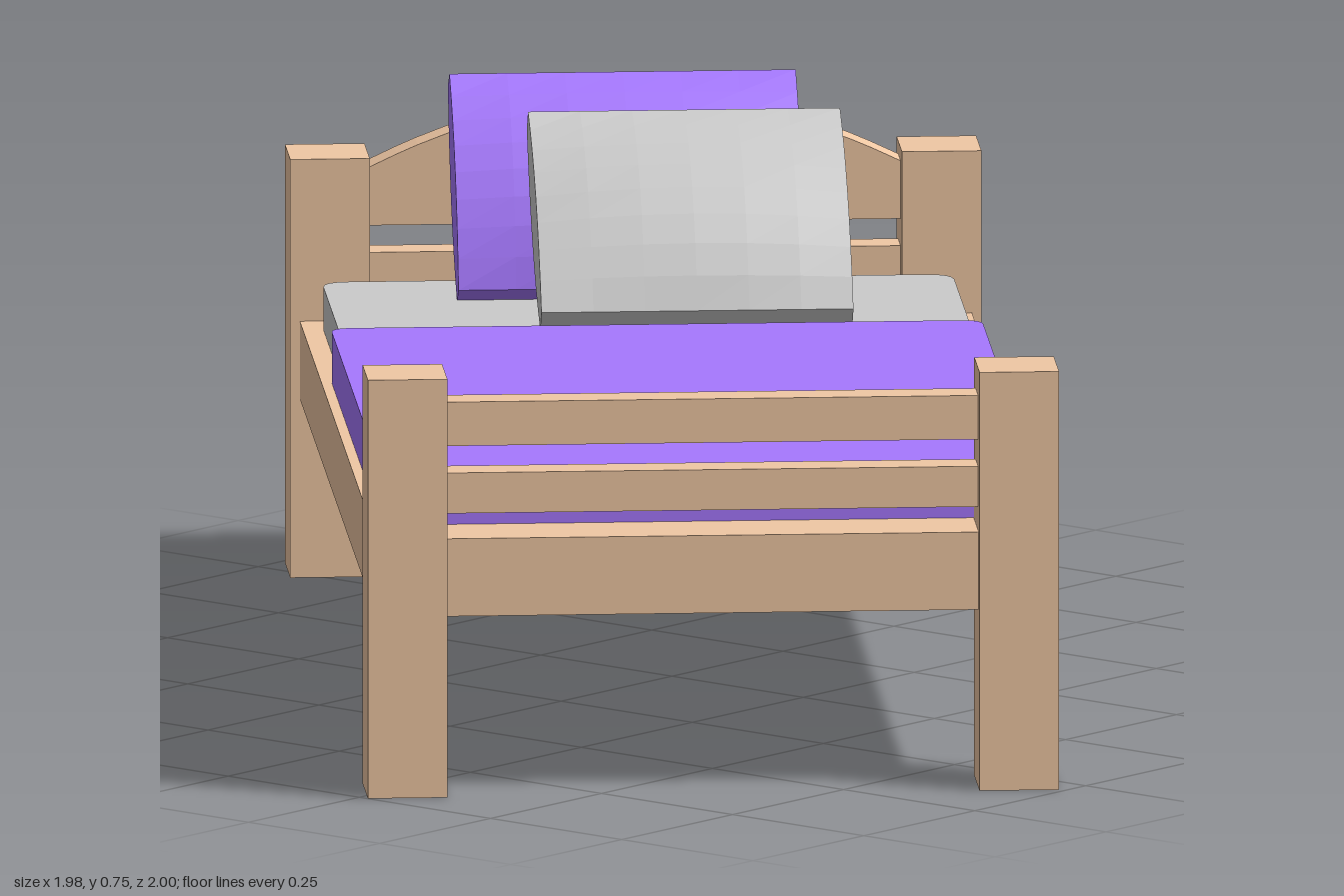
import * as THREE from 'three';

const wood = new THREE.MeshStandardMaterial({ color: 0xf0c8a4, flatShading: true });
const purple = new THREE.MeshStandardMaterial({ color: 0xa678ff, flatShading: true });
const grey = new THREE.MeshStandardMaterial({ color: 0xcccccc, flatShading: true });

export function createModel() {
  const bed = new THREE.Group();
  bed.name = 'bed';

  const add = (name, geometry, material) => {
    const mesh = new THREE.Mesh(geometry, material);
    mesh.name = name;
    bed.add(mesh);
    return mesh;
  };

  // Box given by its ranges along x, y and z
  const box = (name, x0, x1, y0, y1, z0, z1) =>
    add(name, new THREE.BoxGeometry(x1 - x0, y1 - y0, z1 - z0), wood)
      .position.set((x0 + x1) / 2, (y0 + y1) / 2, (z0 + z1) / 2);

  // Flat slab with rounded corners
  const slab = (name, halfWidth, z0, z1, y0, y1, r, material) => {
    const w = halfWidth, s = new THREE.Shape();
    s.moveTo(-w + r, -z1);
    s.lineTo(w - r, -z1).quadraticCurveTo(w, -z1, w, -z1 + r);
    s.lineTo(w, -z0 - r).quadraticCurveTo(w, -z0, w - r, -z0);
    s.lineTo(-w + r, -z0).quadraticCurveTo(-w, -z0, -w, -z0 - r);
    s.lineTo(-w, -z1 + r).quadraticCurveTo(-w, -z1, -w + r, -z1);
    const g = new THREE.ExtrudeGeometry(s, { depth: y1 - y0, bevelEnabled: false, curveSegments: 4 });
    g.rotateX(-Math.PI / 2);
    add(name, g, material).position.y = y0;
  };

  // Cushion: a plank swollen in the middle, leaning back towards the head
  const pillow = (name, width, length, x, y, z, tilt, material) => {
    const g = new THREE.BoxGeometry(width, 2, length, 6, 1, 8);
    const p = g.attributes.position;
    for (let i = 0; i < p.count; i++) {
      const u = p.getX(i) / (width / 2), v = p.getZ(i) / (length / 2);
      const half = 0.02 + (1 - v * v) * (0.035 + 0.018 * (1 - u * u));
      p.setY(i, p.getY(i) * half);
    }
    g.computeVertexNormals();
    const mesh = add(name, g, material);
    mesh.position.set(x, y, z);
    mesh.rotation.x = tilt;
  };

  // Corner posts
  for (const sx of [-1, 1]) for (const sz of [-1, 1]) {
    const x = sx * 0.446, z = sz * 0.845, h = 0.058;
    box(sz < 0 ? 'headPost' : 'footPost', x - h, x + h, 0, 0.62, z - h, z + h);
  }

  // Solid base with end rails between the posts
  box('base', -0.49, 0.49, 0.265, 0.38, -0.787, 0.787);
  box('headRail', -0.39, 0.39, 0.265, 0.38, -0.885, -0.787);
  box('footRail', -0.39, 0.39, 0.265, 0.38, 0.787, 0.885);

  // Slats at both ends
  box('headSlat', -0.39, 0.39, 0.415, 0.475, -0.872, -0.817);
  box('lowerFootSlat', -0.39, 0.39, 0.415, 0.475, 0.817, 0.872);
  box('upperFootSlat', -0.39, 0.39, 0.515, 0.58, 0.817, 0.872);

  // Arched headboard
  const arch = new THREE.Shape();
  arch.moveTo(-0.39, 0.515);
  arch.lineTo(0.39, 0.515);
  arch.lineTo(0.39, 0.6);
  arch.splineThru([[0.3, 0.64], [0.16, 0.685], [0, 0.7], [-0.16, 0.685], [-0.3, 0.64], [-0.39, 0.6]]
    .map(([x, y]) => new THREE.Vector2(x, y)));
  add('headboard', new THREE.ExtrudeGeometry(arch, { depth: 0.055, bevelEnabled: false, curveSegments: 3 }), wood)
    .position.z = -0.872;

  // Bedding
  slab('mattress', 0.46, -0.76, 0.75, 0.375, 0.443, 0.04, grey);
  slab('blanket', 0.475, -0.345, 0.775, 0.38, 0.455, 0.03, purple);
  pillow('backPillow', 0.505, 0.345, -0.02, 0.593, -0.695, 0.96, purple);
  pillow('frontPillow', 0.455, 0.38, 0.06, 0.58, -0.5, 0.687, grey);

  // The bed stands diagonally
  bed.rotation.y = 0.769;
  const model = new THREE.Group();
  model.name = 'model';
  model.add(bed);
  return model;
}
